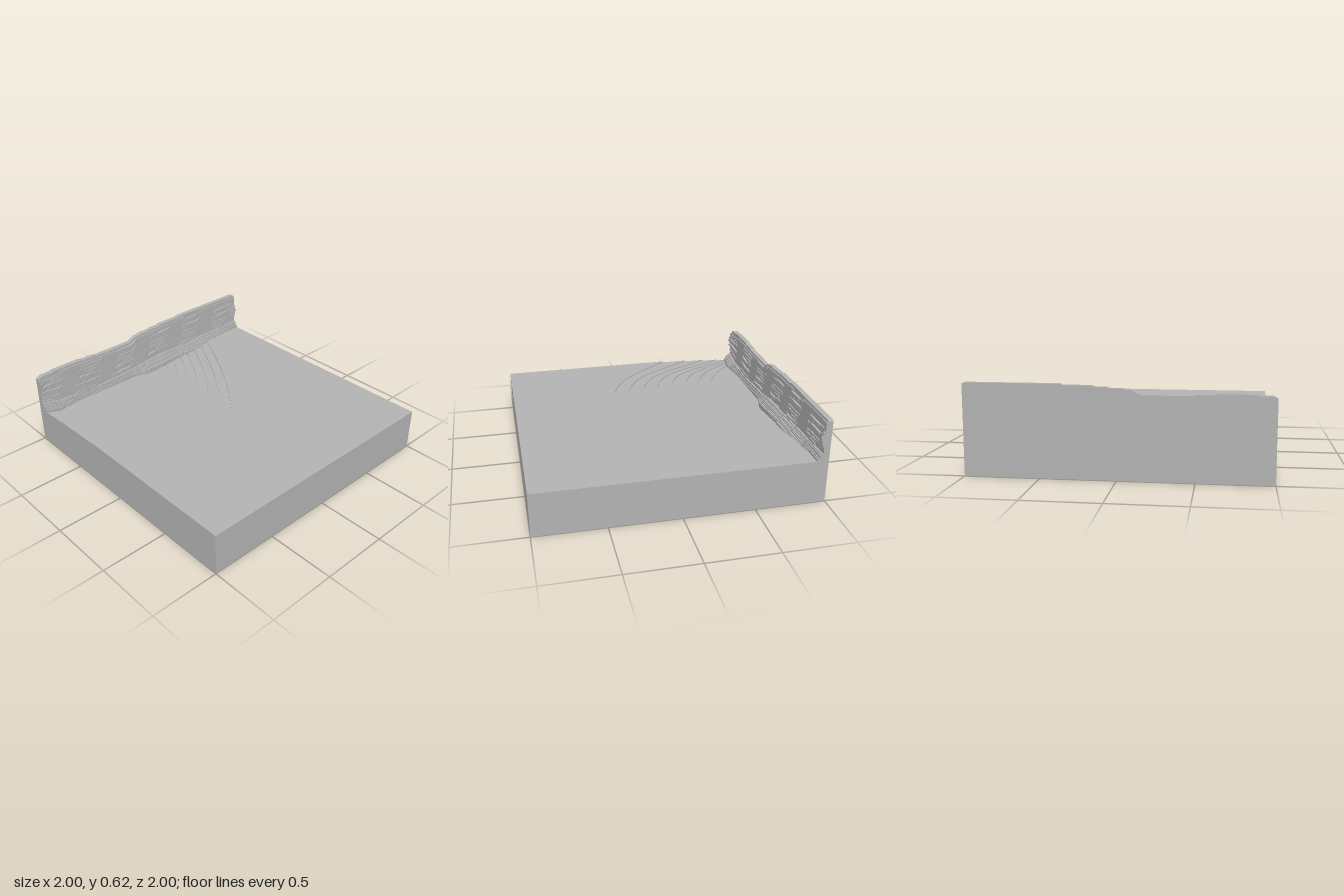
import * as THREE from 'three';

const TOP = 0.315, STEP = 0.0078, LEVELS = 8, CELL = 0.0078;
const stone = new THREE.MeshStandardMaterial({ color: 0xb2b2b2, side: THREE.DoubleSide, flatShading: true });
stone.name = 'grey stone';

const snap = (v) => Math.round(v / CELL) * CELL;

// Piecewise linear lookup through [x, value] pairs
function lookup(pairs, x) {
  for (let i = 1; i < pairs.length; i++) {
    const [x0, v0] = pairs[i - 1], [x1, v1] = pairs[i];
    if (x <= x1) return v0 + (v1 - v0) * (x - x0) / (x1 - x0);
  }
  return pairs[pairs.length - 1][1];
}

// Bands of quads between two polylines that both run towards +x
function bands(pairs) {
  const pos = [];
  for (const [a, b] of pairs)
    for (let i = 0; i < a.length - 1; i++)
      for (const p of [a[i], a[i + 1], b[i + 1], a[i], b[i + 1], b[i]]) pos.push(p.x, p.y, p.z);
  const g = new THREE.BufferGeometry();
  g.setAttribute('position', new THREE.Float32BufferAttribute(pos, 3));
  g.computeVertexNormals();
  return g;
}

const flat = (pts) => new THREE.ShapeGeometry(new THREE.Shape(pts.map(([u, v]) => new THREE.Vector2(u, v))));
// Horizontal polygon from [x, z], and side polygons from [z, y]
const level = (pts, y) => flat(pts.map(([x, z]) => [x, -z])).rotateX(-Math.PI / 2).translate(0, y, 0);
const rightSide = (pts) => flat(pts.map(([z, y]) => [-z, y])).rotateY(Math.PI / 2).translate(1, 0, 0);
const leftSide = (pts) => flat(pts).rotateY(-Math.PI / 2).translate(-1, 0, 0);

// Contours of the shallow basin, blended from its rim to its floor
const RIM = [[-1, -0.33], [-0.65, 0.08], [-0.32, 0.22], [-0.1, 0.17], [0.09, -0.03], [0.32, -0.354], [0.68, -1]];
const FLOOR = [[-1, -1], [-0.82, -0.8], [-0.6, -0.66], [-0.35, -0.62], [-0.15, -0.68], [0, -0.8], [0.15, -1]];
function contour(k) {
  const s = k / (LEVELS - 1);
  const pts = RIM.map(([x, z], i) => {
    const t = i === 0 ? 1 - Math.pow(1 - s, 2.4) : s;
    return new THREE.Vector3(x + (FLOOR[i][0] - x) * t, 0, z + (FLOOR[i][1] - z) * t);
  });
  return new THREE.CatmullRomCurve3(pts).getPoints(48);
}

// Wall outline along x: crest height, height of the foot, reach of the foot
const CREST = [[-1, 0.545], [-0.97, 0.56], [-0.8, 0.57], [-0.6, 0.565], [-0.45, 0.555], [-0.15, 0.555],
  [-0.1, 0.585], [0.1, 0.6], [0.2, 0.61], [0.4, 0.613], [0.75, 0.62], [1, 0.612]];
const FOOT_Y = [[-1, 0.345], [-0.93, 0.33], [-0.87, 0.315], [-0.5, 0.295], [-0.15, 0.315], [0, 0.335], [0.4, 0.35], [1, 0.37]];
const FOOT_Z = [[-1, -0.9], [-0.85, -0.905], [-0.7, -0.922], [-0.15, -0.922], [-0.03, -0.887], [0.2, -0.887],
  [0.48, -0.877], [0.68, -0.888], [0.85, -0.915], [1, -0.915]];

// Stepped cross-section of the wall at x, from the back over the crest to the foot
function wallProfile(x) {
  const crest = snap(lookup(CREST, x)), fy = snap(lookup(FOOT_Y, x)), fz = lookup(FOOT_Z, x);
  const pts = [[-1, 0], [-1, crest]];
  const row = (y0, y1, z) => pts.push([z, y0], [z, y1]);
  const n = 14, m = 6;
  for (let j = 0; j < n; j++) {
    const y0 = crest + (fy - crest) * j / n, y1 = crest + (fy - crest) * (j + 1) / n;
    const rough = 0.5 * Math.sin(x * 5 + j * 2.3) + 0.4 * Math.sin(x * 13 + j * 4.1);
    const lump = Math.max(0, 1 - (1 - Math.abs(x)) / 0.05) * Math.max(0, 1 - Math.abs(y0 - 0.48) / 0.07);
    const z = j === 0 ? -0.963 : -0.955 + CELL * Math.round(rough * 0.9) + snap(0.022 * lump);
    row(y0, y1, z);
  }
  for (let j = 0; j < m; j++) {
    const y0 = fy - 0.05 * j / m, y1 = j === m - 1 ? 0.24 : fy - 0.05 * (j + 1) / m;
    row(y0, y1, -0.94 + snap((fz + 0.94) * j / (m - 1)));
  }
  return pts;
}

export function createModel() {
  const model = new THREE.Group();
  model.name = 'terrainBlock';
  const add = (name, geometry, parent = model) => {
    const mesh = new THREE.Mesh(geometry, stone);
    mesh.name = name;
    parent.add(mesh);
  };

  // Slab faces
  const slab = new THREE.Group();
  slab.name = 'slab';
  model.add(slab);
  const lines = Array.from({ length: LEVELS }, (_, k) => contour(k));
  const atY = (line, y) => line.map((p) => new THREE.Vector3(p.x, y, p.z));
  const rim = lines[0].map((p) => [p.x, p.z]);
  add('plateau', level([[-1, 1], [1, 1], [1, -1], ...rim.slice().reverse()], TOP), slab);
  add('slabFront', new THREE.PlaneGeometry(2, TOP).translate(0, TOP / 2, 1), slab);
  add('slabUnderside', new THREE.PlaneGeometry(2, 2).rotateX(Math.PI / 2), slab);
  add('slabLeft', rightSide([[1, 0], [1, TOP], [-1, TOP], [-1, 0]]), slab);
  const edge = [[1, 0], [1, TOP]];
  lines.forEach((line, k) => edge.push([line[0].z, TOP - k * STEP], [line[0].z, TOP - (k + 1) * STEP]));
  add('slabRight', leftSide([...edge, [-1, 0]]), slab);

  // Terraced basin: a riser below each contour, a tread up to the next one
  const terraces = [];
  lines.forEach((line, k) => {
    const y = TOP - k * STEP, low = atY(line, y - STEP);
    terraces.push([atY(line, y), low]);
    if (k < LEVELS - 1) terraces.push([low, atY(lines[k + 1], y - STEP)]);
  });
  add('basinTerraces', bands(terraces));
  add('basinFloor', level(lines[LEVELS - 1].map((p) => [p.x, p.z]), TOP - LEVELS * STEP));

  // Rough rock wall along the back
  const COLS = 128;
  const profiles = Array.from({ length: COLS + 1 }, (_, i) => wallProfile(-1 + 2 * i / COLS));
  const rows = profiles[0].map((_, j) => profiles.map(([...p], i) =>
    new THREE.Vector3(-1 + 2 * i / COLS, p[j][1], p[j][0])));
  add('rockWall', bands(rows.slice(1).map((r, j) => [r, rows[j]])));
  const cap = (p) => [[-1, 0.24], ...p.slice(1)];
  add('rockWallLeftEnd', rightSide(cap(profiles[COLS])));
  add('rockWallRightEnd', leftSide(cap(profiles[0])));

  return model;
}
